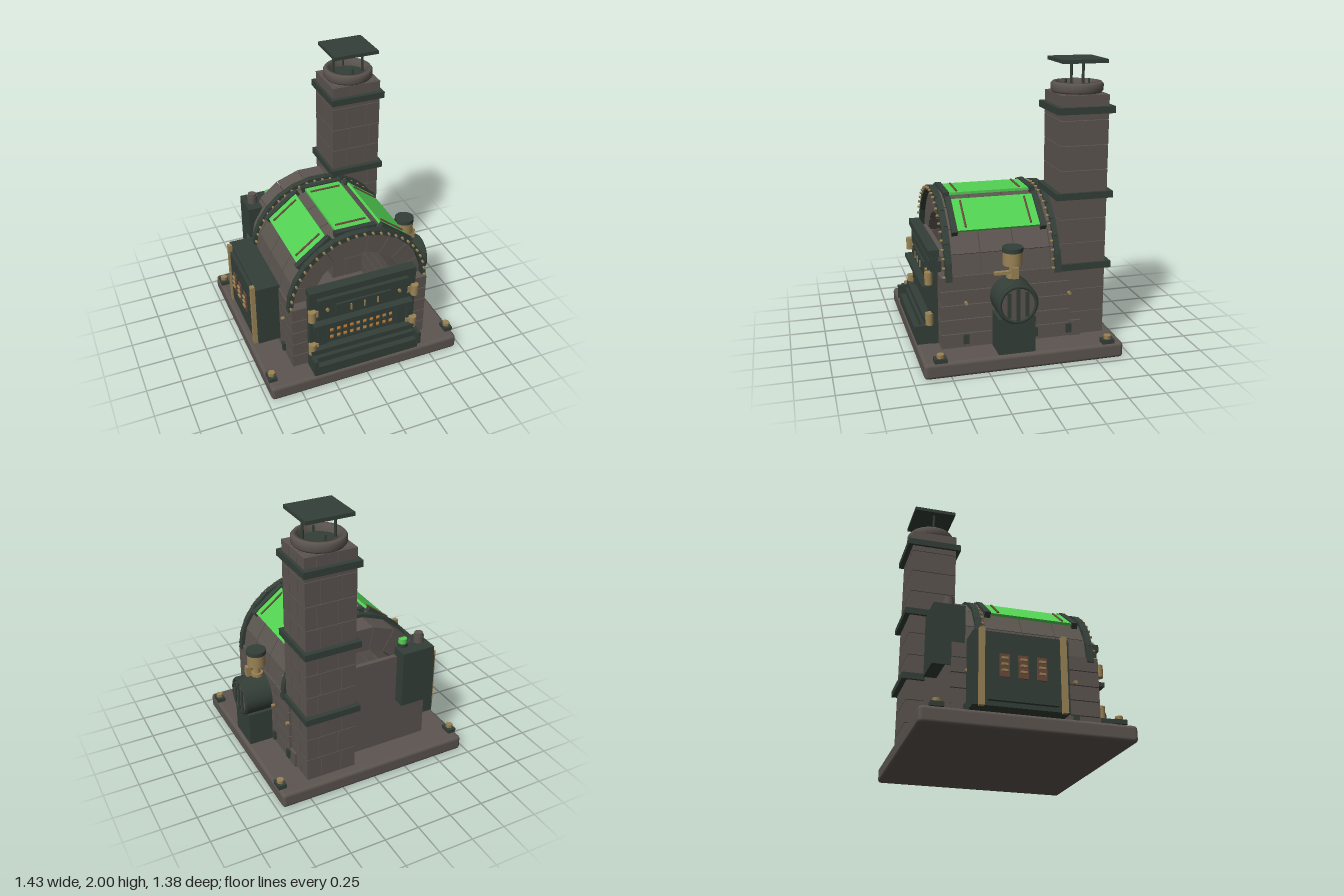
import * as THREE from 'three';
import { RoundedBoxGeometry } from 'three/addons/geometries/RoundedBoxGeometry.js';

const mat = (name, color) => {
  const m = new THREE.MeshStandardMaterial({ color });
  m.name = name;
  return m;
};

export function createModel() {
  const model = new THREE.Group();
  model.name = 'furnace';
  const stone = mat('stone', 0x5c5550), iron = mat('iron', 0x343f38), bronze = mat('bronze', 0x9a8355);
  const glass = mat('greenPanel', 0x52d152), ember = mat('ember', 0xdc8a34), rust = mat('rust', 0x6a4a3a);

  const group = (name, parent = model) => {
    const g = new THREE.Group();
    g.name = name;
    parent.add(g);
    return g;
  };
  const add = (name, geo, m, parent = model) => {
    const mesh = new THREE.Mesh(geo, m);
    mesh.name = name;
    parent.add(mesh);
    return mesh;
  };
  // box given by its extents on each axis
  const box = (name, m, x0, x1, y0, y1, z0, z1, parent = model) => {
    const b = add(name, new THREE.BoxGeometry(x1 - x0, y1 - y0, z1 - z0), m, parent);
    b.position.set((x0 + x1) / 2, (y0 + y1) / 2, (z0 + z1) / 2);
    return b;
  };
  // cylinder centred on a point, lying along the given axis
  const cyl = (name, m, r, len, x, y, z, axis = 'y', parent = model, sides = 24) => {
    const c = add(name, new THREE.CylinderGeometry(r, r, len, sides), m, parent);
    c.position.set(x, y, z);
    if (axis === 'x') c.rotation.z = Math.PI / 2;
    if (axis === 'z') c.rotation.x = Math.PI / 2;
    return c;
  };

  // Base slab with a bolt plate at each corner
  add('baseSlab', new RoundedBoxGeometry(1.43, 0.11, 1.37, 3, 0.025), stone).position.set(-0.005, 0.055, -0.005);
  for (const x of [-0.685, 0.68]) for (const z of [-0.58, 0.57]) {
    box('boltPlate', iron, x - 0.03, x + 0.03, 0.11, 0.14, z - 0.042, z + 0.042);
    cyl('baseBolt', bronze, 0.026, 0.03, x, 0.15, z, 'y', model, 6);
  }

  // Side walls of stacked blocks
  const walls = group('sideWalls');
  const gap = 0.003;
  for (const s of [-1, 1]) {
    const seams = [0.53, 0.31, 0.08, -0.15, s > 0 ? -0.37 : -0.46];
    for (let r = 0; r < 5; r++) for (let i = 0; i < 4; i++) {
      const y = 0.11 + r * 0.102, x = s * 0.445;
      box('wallBlock', stone, x - 0.063, x + 0.063, y + gap, y + 0.102 - gap, seams[i + 1] + gap, seams[i] - gap, walls);
    }
    box('cornerStone', stone, s * 0.45 - 0.06, s * 0.45 + 0.06, 0.11, 0.22, -0.45, -0.37, walls);
    for (const z of [0.36, -0.12, -0.36]) {
      cyl('wallBolt', bronze, 0.012, 0.025, s * 0.518, 0.43, z, 'x', walls, 8);
      box('wallClamp', iron, s * 0.515 - 0.012, s * 0.515 + 0.012, 0.14, 0.205, z - 0.018, z + 0.018, walls);
    }
  }
  box('backPanel', stone, -0.5, 0.13, 0.11, 0.82, -0.495, -0.46);
  box('frontBeam', stone, -0.38, 0.38, 0.6, 0.72, 0.45, 0.53);

  // Barrel vault made of wedge blocks
  const CY = 0.585;
  const wedge = (r0, r1, a0, a1, depth) => {
    const p = (r, a) => new THREE.Vector2(Math.cos(a) * r, Math.sin(a) * r);
    const shape = new THREE.Shape([p(r0, a0), p(r1, a0), p(r1, a1), p(r0, a1)]);
    return new THREE.ExtrudeGeometry(shape, { depth, bevelEnabled: false });
  };
  const arc = (name, m, n, r0, r1, z0, z1, trim, parent) => {
    for (let i = 0; i < n; i++) {
      const a = Math.PI / n;
      add(name, wedge(r0, r1, i * a + trim, (i + 1) * a - trim, z1 - z0), m, parent).position.set(0, CY, z0);
    }
  };
  const vault = group('vault');
  const vz = [-0.46, -0.23, 0.02, 0.25, 0.46];
  for (let i = 0; i < 4; i++) arc('vaultBlock', stone, 9, 0.33, 0.5, vz[i] + gap, vz[i + 1] - gap, 0.004, vault);

  // Iron hoops with rivets
  for (const z of [-0.3, 0.45]) {
    const hoop = group('ironHoop');
    arc('hoopSegment', iron, 13, 0.487, 0.522, z, z + 0.045, 0.002, hoop);
    for (let i = 0; i < 26; i++) {
      const a = (i + 0.5) * Math.PI / 26;
      cyl('hoopRivet', bronze, 0.009, 0.02, Math.cos(a) * 0.505, CY + Math.sin(a) * 0.505, z + 0.053, 'z', hoop, 8);
    }
  }

  // Green panels on the vault, each tilted about the vault axis
  for (const deg of [-38, 0, 38]) {
    const g = group('roofPanel');
    g.position.y = CY;
    g.rotation.z = -deg * Math.PI / 180;
    box('greenPane', glass, -0.132, 0.132, 0.485, 0.503, -0.185, 0.395, g);
    for (const z of [-0.2, 0.41]) box('paneFrame', iron, -0.15, 0.15, 0.47, 0.512, z - 0.02, z + 0.02, g);
    for (const z of [-0.12, 0.33]) cyl('paneRod', rust, 0.007, 0.22, 0, 0.507, z, 'x', g, 8);
  }

  // Front door with grate
  const door = group('frontDoor');
  box('doorPlate', iron, -0.39, 0.39, 0.11, 0.69, 0.5, 0.545, door);
  box('lintel', iron, -0.4, 0.39, 0.72, 0.77, 0.51, 0.585, door);
  for (const s of [-1, 1]) {
    box('doorJamb', iron, s * 0.37 - 0.027, s * 0.37 + 0.027, 0.11, 0.72, 0.52, 0.57, door);
    for (const y of [0.58, 0.29]) {
      cyl('hinge', bronze, 0.028, 0.085, s * 0.385, y, 0.585, 'y', door, 16);
      box('hingeLeaf', bronze, s * 0.365 - 0.03, s * 0.365 + 0.03, y - 0.025, y + 0.025, 0.565, 0.58, door);
    }
    cyl('doorStud', bronze, 0.013, 0.02, s * 0.27, 0.6, 0.58, 'z', door, 6);
    box('stepBracket', iron, s * 0.393 - 0.014, s * 0.393 + 0.014, 0.15, 0.25, 0.56, 0.685, door);
  }
  box('upperDoor', iron, -0.34, 0.34, 0.515, 0.685, 0.54, 0.575, door);
  box('ventPlate', iron, -0.21, 0.2, 0.54, 0.63, 0.575, 0.59, door);
  for (const x of [-0.1, 0, 0.1]) box('ventPin', bronze, x - 0.005, x + 0.005, 0.56, 0.61, 0.588, 0.598, door);
  box('middleRail', iron, -0.38, 0.36, 0.48, 0.51, 0.54, 0.625, door);
  box('emberPlate', ember, -0.255, 0.245, 0.305, 0.475, 0.545, 0.552, door);
  for (let i = 0; i < 11; i++) {
    const x = -0.255 + i * 0.05;
    box('grateBar', iron, x - 0.008, x + 0.008, 0.3, 0.48, 0.55, 0.57, door);
  }
  for (const y of [0.3, 0.361, 0.42, 0.475]) box('grateRail', iron, -0.27, 0.26, y - 0.011, y + 0.011, 0.55, 0.565, door);
  for (const x of [-0.305, 0.295]) box('grateSide', iron, x - 0.035, x + 0.035, 0.29, 0.485, 0.54, 0.575, door);
  box('lowerRail', iron, -0.4, 0.38, 0.245, 0.285, 0.54, 0.615, door);
  box('upperStep', iron, -0.38, 0.38, 0.17, 0.23, 0.53, 0.63, door);
  box('lowerStep', iron, -0.4, 0.39, 0.11, 0.185, 0.53, 0.672, door);

  // Cabinet on the right side
  const cab = group('sideCabinet');
  box('cabinetBody', iron, -0.67, -0.5, 0.16, 0.645, -0.36, 0.26, cab);
  box('cabinetDoor', iron, -0.695, -0.67, 0.19, 0.62, -0.27, 0.18, cab);
  for (const z of [-0.31, 0.22]) box('cabinetPost', bronze, -0.7, -0.67, 0.15, 0.655, z - 0.017, z + 0.017, cab);
  for (const z of [-0.17, -0.05, 0.07]) {
    box('cabinetVent', rust, -0.703, -0.695, 0.34, 0.49, z - 0.032, z + 0.032, cab);
    for (const y of [0.38, 0.42, 0.46]) box('ventSlat', bronze, -0.715, -0.7, y - 0.007, y + 0.007, z - 0.02, z + 0.02, cab);
  }

  // Control box at the back
  const control = group('controlBox');
  box('controlBody', iron, -0.505, -0.26, 0.46, 0.88, -0.58, -0.37, control);
  cyl('greyKnob', stone, 0.036, 0.06, -0.445, 0.905, -0.47, 'y', control);
  cyl('greyKnobCap', stone, 0.03, 0.02, -0.445, 0.943, -0.47, 'y', control);
  cyl('greenLampBase', iron, 0.035, 0.03, -0.315, 0.89, -0.47, 'y', control);
  cyl('greenLamp', glass, 0.03, 0.05, -0.315, 0.915, -0.47, 'y', control);

  // Blower drum with oil pot on the left side
  const blower = group('blower');
  box('blowerStand', iron, 0.51, 0.685, 0.11, 0.36, -0.07, 0.18, blower);
  cyl('drum', iron, 0.14, 0.19, 0.6, 0.46, 0.055, 'x', blower, 32);
  cyl('drumFace', stone, 0.11, 0.01, 0.697, 0.46, 0.055, 'x', blower, 32);
  const rim = add('drumRim', new THREE.TorusGeometry(0.122, 0.015, 8, 32), iron, blower);
  rim.position.set(0.695, 0.46, 0.055);
  rim.rotation.y = Math.PI / 2;
  for (const [dz, h] of [[-0.06, 0.085], [0, 0.115], [0.06, 0.085]])
    box('drumBar', iron, 0.698, 0.712, 0.46 - h, 0.46 + h, 0.043 + dz, 0.067 + dz, blower);
  cyl('potStem', bronze, 0.024, 0.12, 0.56, 0.64, 0.055, 'y', blower);
  cyl('potFoot', bronze, 0.042, 0.025, 0.56, 0.612, 0.055, 'y', blower);
  cyl('oilPot', bronze, 0.066, 0.09, 0.56, 0.735, 0.055, 'y', blower);
  cyl('potLid', iron, 0.07, 0.03, 0.56, 0.795, 0.055, 'y', blower);
  box('potLever', bronze, 0.545, 0.575, 0.625, 0.645, 0.06, 0.18, blower);
  box('potValve', bronze, 0.61, 0.645, 0.615, 0.69, 0.035, 0.075, blower);

  // Chimney of blocks round a core
  const chimney = group('chimney');
  box('chimneyCore', stone, 0.15, 0.47, 0.11, 1.775, -0.6, -0.31, chimney);
  const cz = [-0.62, -0.515, -0.395, -0.29], rowH = 0.1665;
  for (let r = 0; r < 10; r++) {
    const d = r % 2 ? 0.012 : -0.012;
    const cx = [0.13, 0.25 + d, 0.4 + d, 0.495];
    for (let i = 0; i < 3; i++) for (let j = 0; j < 3; j++) {
      if (i === 1 && j === 1) continue;
      const y = 0.11 + r * rowH;
      box('chimneyBlock', stone, cx[i] + 0.002, cx[i + 1] - 0.002, y + 0.002, y + rowH - 0.002, cz[j] + 0.002, cz[j + 1] - 0.002, chimney);
    }
  }
  for (const y of [0.61, 1.105, 1.675]) box('chimneyBand', iron, 0.112, 0.515, y - 0.023, y + 0.023, -0.655, -0.258, chimney);

  // Chimney mouth and rain cap
  const mouth = [[0.13, 1.775], [0.165, 1.775], [0.177, 1.79], [0.177, 1.83], [0.165, 1.845], [0.135, 1.845], [0.13, 1.775]];
  const ring = add('chimneyMouth', new THREE.LatheGeometry(mouth.map(([x, y]) => new THREE.Vector2(x, y)), 32), stone, chimney);
  ring.position.set(0.313, 0, -0.455);
  cyl('flueOpening', iron, 0.132, 0.02, 0.313, 1.785, -0.455, 'y', chimney);
  for (const x of [0.2, 0.425]) cyl('capPost', iron, 0.01, 0.2, x, 1.88, -0.455, 'y', chimney, 8);
  for (const z of [-0.54, -0.375]) cyl('mouthStud', iron, 0.008, 0.04, 0.313, 1.84, z, 'y', chimney, 8);
  box('rainCap', iron, 0.147, 0.478, 1.975, 2, -0.61, -0.3, chimney);

  return model;
}
